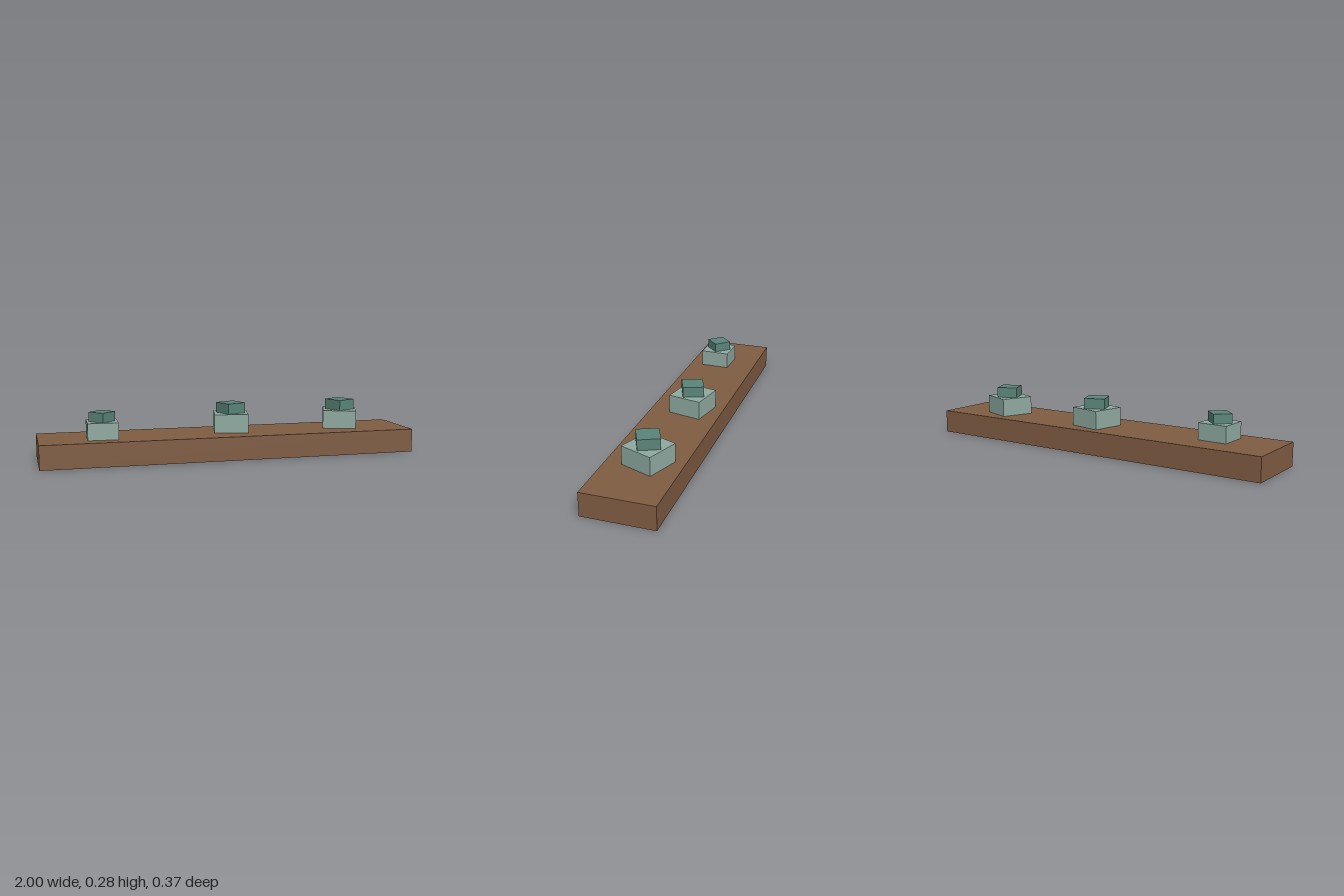
import * as THREE from 'three';

const BASE_TOP = 0.125;

export function createModel() {
  const brown = new THREE.MeshStandardMaterial({ color: 0x7f5c42, side: THREE.DoubleSide });
  const paleGreen = new THREE.MeshStandardMaterial({ color: 0x8ea9a0 });
  const darkGreen = new THREE.MeshStandardMaterial({ color: 0x5a8479 });
  brown.name = 'brown';
  paleGreen.name = 'paleGreen';
  darkGreen.name = 'darkGreen';

  const model = new THREE.Group();
  model.name = 'plantBed';

  // Hollow base: a box shell without its underside (face 3, six indices per face)
  const shell = new THREE.BoxGeometry(2, BASE_TOP, 0.374);
  const index = Array.from(shell.index.array);
  index.splice(18, 6);
  shell.setIndex(index);
  shell.clearGroups();
  const base = new THREE.Mesh(shell, brown);
  base.name = 'base';
  base.position.y = BASE_TOP / 2;
  model.add(base);

  // Square block standing on height y, turned by a number of degrees
  function block(name, size, height, y, degrees, material) {
    const mesh = new THREE.Mesh(new THREE.BoxGeometry(size, height, size), material);
    mesh.name = name;
    mesh.position.y = y + height / 2;
    mesh.rotation.y = THREE.MathUtils.degToRad(degrees);
    return mesh;
  }

  // Each plant: a pale lower block with a smaller dark block turned on top
  const plants = [
    { x: -0.674, z: 0.035, size: 0.156, low: 0.087, turn: -2, topSize: 0.096, high: 0.049, topTurn: 44 },
    { x: 0.027, z: -0.029, size: 0.18, low: 0.098, turn: -12, topSize: 0.112, high: 0.055, topTurn: 22 },
    { x: 0.652, z: -0.017, size: 0.18, low: 0.098, turn: -21, topSize: 0.112, high: 0.056, topTurn: 25 },
  ];
  for (const p of plants) {
    const plant = new THREE.Group();
    plant.name = 'plant';
    plant.position.set(p.x, BASE_TOP, p.z);
    plant.add(block('lowerBlock', p.size, p.low, 0, p.turn, paleGreen));
    plant.add(block('upperBlock', p.topSize, p.high, p.low, p.topTurn, darkGreen));
    model.add(plant);
  }
  return model;
}
